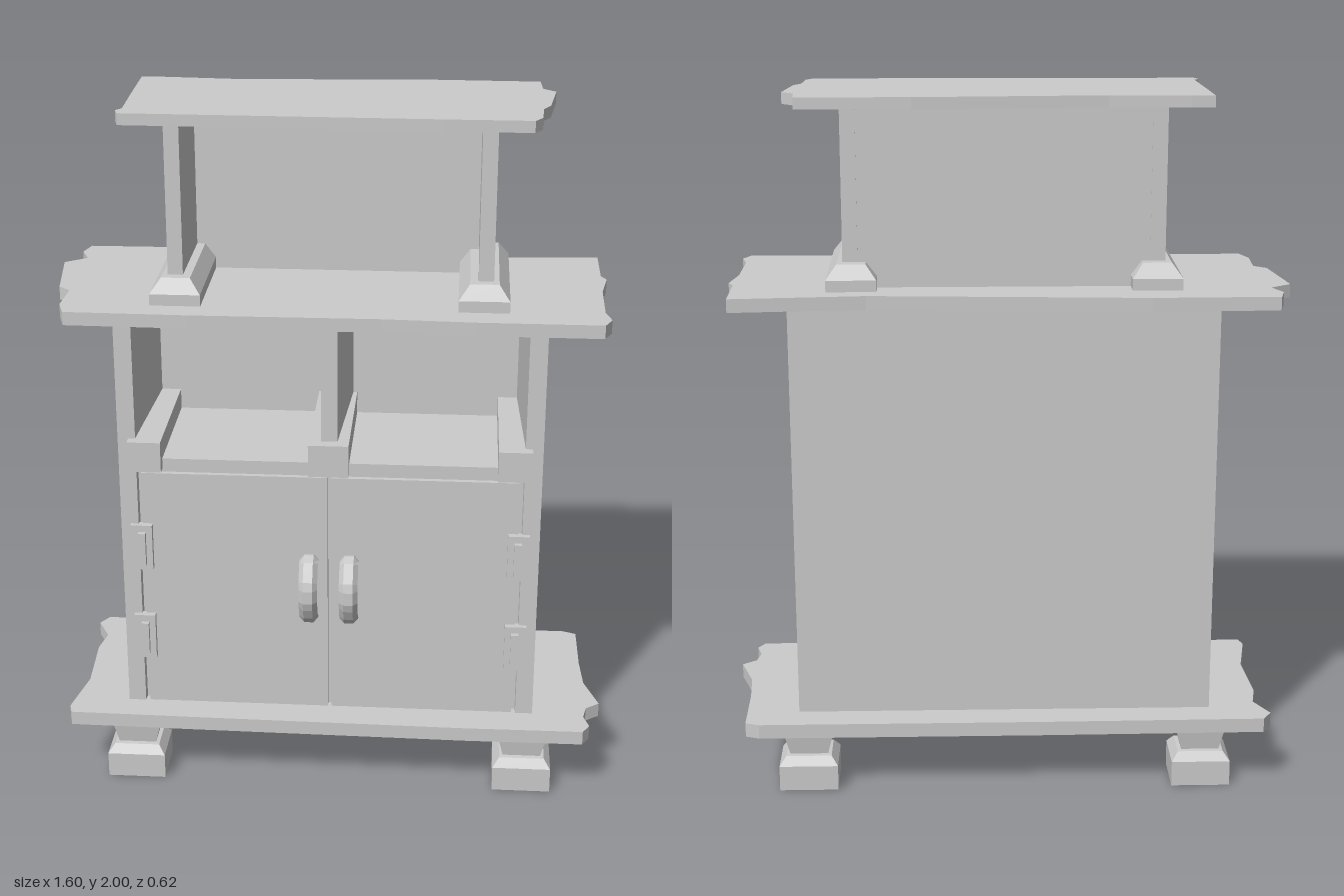
import * as THREE from 'three';

const material = new THREE.MeshStandardMaterial({ color: 0xcccccc, flatShading: true });

export function createModel() {
  const group = new THREE.Group();

  const add = (name, geometry, x = 0, y = 0, z = 0) => {
    const mesh = new THREE.Mesh(geometry, material);
    mesh.name = name;
    mesh.position.set(x, y, z);
    group.add(mesh);
    return mesh;
  };

  // Box given by its extents
  const box = (name, x0, x1, y0, y1, z0, z1) =>
    add(name, new THREE.BoxGeometry(x1 - x0, y1 - y0, z1 - z0),
      (x0 + x1) / 2, (y0 + y1) / 2, (z0 + z1) / 2);

  // Upright prism from a plan outline of [x, z] points
  const prism = (name, outline, y0, y1) => {
    const shape = new THREE.Shape(outline.map(([x, z]) => new THREE.Vector2(x, -z)));
    const geometry = new THREE.ExtrudeGeometry(shape, { depth: y1 - y0, bevelEnabled: false });
    geometry.rotateX(-Math.PI / 2);
    return add(name, geometry, 0, y0, 0);
  };

  // Stack of rectangular sections [y, half width, half depth]
  const stack = (sections) => {
    const points = [];
    const ring = ([y, w, d]) => [[-w, y, -d], [-w, y, d], [w, y, d], [w, y, -d]];
    const quad = (a, b, c, d) => points.push(...a, ...b, ...c, ...a, ...c, ...d);
    const rings = sections.map(ring);
    for (let s = 0; s < rings.length - 1; s++) {
      for (let i = 0; i < 4; i++) {
        const j = (i + 1) % 4;
        quad(rings[s][i], rings[s][j], rings[s + 1][j], rings[s + 1][i]);
      }
    }
    const top = rings[rings.length - 1];
    quad(...top);
    quad(...rings[0].slice().reverse());
    const geometry = new THREE.BufferGeometry();
    geometry.setAttribute('position', new THREE.Float32BufferAttribute(points, 3));
    geometry.computeVertexNormals();
    return geometry;
  };

  // Rough-sawn boards with broken ends
  prism('topBoard', [
    [-0.565, -0.225], [-0.5, -0.225], [-0.28, -0.21], [0.25, -0.24], [0.565, -0.235],
    [0.57, -0.145], [0.605, -0.11], [0.585, 0.06], [0.565, 0.1], [0.56, 0.2], [0.54, 0.235],
    [0.3, 0.235], [-0.56, 0.225], [-0.57, 0.19], [-0.555, 0.17], [-0.56, 0],
  ], 1.968, 2.0);
  prism('middleBoard', [
    [-0.75, -0.31], [-0.4, -0.315], [-0.15, -0.3], [0.38, -0.27], [0.755, -0.3],
    [0.755, -0.12], [0.77, -0.09], [0.752, 0.02], [0.75, 0.2], [0.765, 0.26], [0.745, 0.305],
    [0.4, 0.305], [0.15, 0.295], [-0.38, 0.3], [-0.72, 0.295], [-0.74, 0.23], [-0.735, 0.11],
    [-0.77, 0.08], [-0.8, -0.145], [-0.74, -0.19], [-0.765, -0.25],
  ], 1.43, 1.468);
  prism('bottomBoard', [
    [-0.75, -0.3], [-0.1, -0.305], [0.3, -0.305], [0.71, -0.305], [0.75, -0.29],
    [0.752, -0.1], [0.76, 0.02], [0.8, 0.14], [0.76, 0.17], [0.75, 0.22], [0.765, 0.27],
    [0.745, 0.305], [0.4, 0.308], [-0.38, 0.3], [-0.76, 0.295], [-0.77, 0.26], [-0.74, 0.1],
    [-0.75, -0.1], [-0.735, -0.18], [-0.775, -0.26],
  ], 0.175, 0.217);

  // Cabinet carcass with an open compartment on top
  box('cabinetCore', -0.55, 0.55, 0.21, 0.96, -0.2, 0.185);
  box('cabinetBack', -0.6, 0.6, 0.21, 1.44, -0.215, -0.18);
  box('shelf', -0.55, 0.55, 0.965, 1.005, -0.2, 0.208);
  prism('divider', [[-0.045, -0.19], [-0.023, 0.205], [0.023, 0.205], [0.045, -0.19]], 1.0, 1.44);

  // Feet, front and back
  const foot = stack([
    [0, 0.085, 0.073], [0.075, 0.085, 0.073], [0.1, 0.066, 0.054],
    [0.101, 0.055, 0.04], [0.17, 0.072, 0.05], [0.18, 0.072, 0.05],
  ]);
  // Chamfered base under each hutch side
  const hutchBase = stack([[0, 0.07, 0.222], [0.035, 0.07, 0.222], [0.075, 0.04, 0.195]]);

  // Handle: bent bar
  const handlePath = new THREE.CurvePath();
  const bends = [[0.7, 0.2], [0.705, 0.235], [0.645, 0.272], [0.59, 0.272], [0.53, 0.24], [0.515, 0.2]]
    .map(([y, z]) => new THREE.Vector3(0, y, z));
  for (let i = 0; i < bends.length - 1; i++) {
    handlePath.add(new THREE.LineCurve3(bends[i], bends[i + 1]));
  }
  const handle = new THREE.TubeGeometry(handlePath, 14, 0.018, 6, false);
  handle.scale(1.5, 1, 1);

  for (const side of [-1, 1]) {
    const label = side > 0 ? 'left' : 'right';
    const span = (name, x0, x1, ...rest) =>
      box(label + name, Math.min(side * x0, side * x1), Math.max(side * x0, side * x1), ...rest);

    // Side wall, thicker towards the back
    const wall = [[0.6, -0.21], [0.53, -0.21], [0.55, 0.21], [0.6, 0.21]];
    prism(label + 'Wall', wall.map(([x, z]) => [side * x, z]), 0.21, 1.44);

    // Door with its handle
    span('Door', 0.005, 0.538, 0.215, 0.958, 0.18, 0.207);
    add(label + 'Handle', handle, side * 0.058, 0, 0);

    // Hinges: plate and pin
    for (const y of [0.44, 0.73]) {
      span('HingePlate', 0.51, 0.572, y - 0.07, y + 0.07, 0.2, 0.225);
      span('HingePin', 0.528, 0.55, y - 0.05, y + 0.05, 0.22, 0.24);
    }

    // Rail inside the compartment, ending in a block at the front
    span('Rail', 0.475, 0.57, 0.975, 1.065, -0.19, 0.24);

    for (const z of [0.217, -0.212]) add(label + 'Foot', foot, side * 0.572, 0, z);

    // Hutch side and base
    span('HutchSide', 0.405, 0.447, 1.46, 1.975, -0.16, 0.17);
    add(label + 'HutchBase', hutchBase, side * 0.422, 1.465, 0.003);
  }

  box('centreRail', -0.058, 0.056, 0.975, 1.07, -0.19, 0.24);
  box('hutchBack', -0.44, 0.44, 1.46, 1.975, -0.158, -0.125);

  return group;
}
